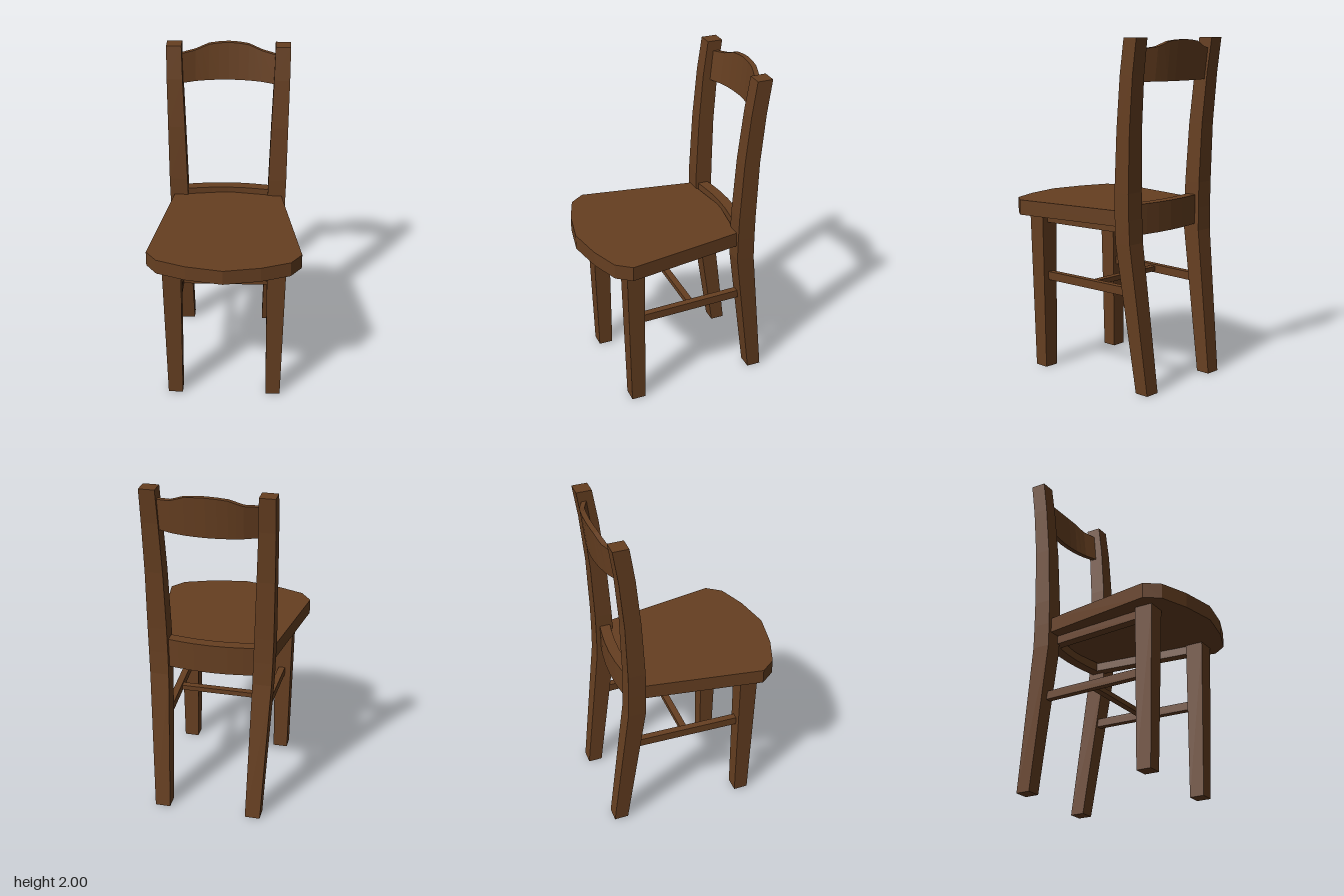
import * as THREE from 'three';

const wood = new THREE.MeshStandardMaterial({ color: 0x663f21 });
wood.name = 'brown wood';

// Skins a row of four-cornered sections into a closed, flat-faced solid.
function loft(rings) {
  const pos = [];
  const quad = (a, b, c, d) => pos.push(...a, ...b, ...c, ...a, ...c, ...d);
  for (let i = 0; i < rings.length - 1; i++) {
    const lo = rings[i], hi = rings[i + 1];
    for (let k = 0; k < 4; k++) {
      const n = (k + 1) % 4;
      quad(lo[k], lo[n], hi[n], hi[k]);
    }
  }
  quad(...[...rings[0]].reverse());
  quad(...rings[rings.length - 1]);
  const geo = new THREE.BufferGeometry();
  geo.setAttribute('position', new THREE.Float32BufferAttribute(pos, 3));
  geo.computeVertexNormals();
  return geo;
}

const mirror = (rings) => rings.map((r) => r.map(([x, y, z]) => [-x, y, z]).reverse());

// Rectangular sections across each axis.
const acrossY = ([y, x0, x1, z0, z1]) => [[x0, y, z0], [x0, y, z1], [x1, y, z1], [x1, y, z0]];
const acrossZ = ([z, x0, x1, y0, y1]) => [[x0, y0, z], [x1, y0, z], [x1, y1, z], [x0, y1, z]];

export function createModel() {
  const chair = new THREE.Group();
  chair.name = 'chair';

  const add = (name, geo) => {
    const mesh = new THREE.Mesh(geo, wood);
    mesh.name = name;
    chair.add(mesh);
  };
  const addPair = (name, rings) => {
    add(name + 'Left', loft(rings));
    add(name + 'Right', loft(mirror(rings)));
  };

  // Seat board: tapered towards the back, with a faceted bowed front
  const half = [[0.45, 0.36], [0.385, 0.447], [0.215, 0.51]];
  const back = [[0.25, -0.345], [0.337, -0.337]];
  const outline = [
    [0, -0.38], ...back, ...half, [0, 0.55],
    ...[...back, ...half].reverse().map(([x, z]) => [-x, z]),
  ];
  const shape = new THREE.Shape(outline.map(([x, z]) => new THREE.Vector2(x, -z)));
  const seat = new THREE.ExtrudeGeometry(shape, { depth: 0.09, bevelEnabled: false });
  seat.rotateX(-Math.PI / 2).translate(0, 0.95, 0);
  add('seat', seat);

  // Tapered front legs: y, x range, z range
  addPair('frontLeg', [
    [0, 0.258, 0.347, 0.255, 0.342],
    [0.95, 0.25, 0.362, 0.258, 0.366],
  ].map(acrossY));

  // Back legs sweep up into the backrest posts
  addPair('backPost', [
    [0, 0.232, 0.322, -0.548, -0.462],
    [0.86, 0.247, 0.358, -0.445, -0.337],
    [1.0, 0.25, 0.362, -0.441, -0.335],
    [1.15, 0.254, 0.365, -0.44, -0.336],
    [1.5, 0.264, 0.367, -0.449, -0.353],
    [1.8, 0.275, 0.37, -0.473, -0.38],
    [2, 0.28, 0.37, -0.5, -0.408],
  ].map(acrossY));

  // Side aprons under the seat and side stretchers: z, x range, y range
  addPair('sideApron', [
    [-0.36, 0.205, 0.265, 0.9, 0.95],
    [0.28, 0.265, 0.325, 0.9, 0.95],
  ].map(acrossZ));
  addPair('sideStretcher', [
    [-0.4, 0.255, 0.295, 0.545, 0.595],
    [0.28, 0.28, 0.32, 0.545, 0.595],
  ].map(acrossZ));

  // Cross stretcher joining the two sides
  const cross = new THREE.BoxGeometry(0.56, 0.03, 0.04);
  cross.translate(0, 0.57, -0.07);
  add('crossStretcher', cross);

  // Curved rail behind the seat, from half sections mirrored across the middle
  const bothSides = (rows) => [
    ...rows.slice(1).reverse().map(([x, ...r]) => [-x, ...r]),
    ...rows,
  ];
  const rail = bothSides([[0, -0.44], [0.1, -0.436], [0.19, -0.425], [0.28, -0.41]]);
  add('seatRail', loft(rail.map(([x, z]) => [
    [x, 0.9, z], [x, 1.075, z], [x, 1.075, z + 0.064], [x, 0.9, z + 0.064],
  ])));

  // Crest rail: x, top height, back edge z; curved in plan and leaning back
  const crest = bothSides([
    [0, 1.99, -0.536], [0.06, 1.987, -0.533], [0.12, 1.98, -0.526],
    [0.16, 1.965, -0.517], [0.2, 1.95, -0.507], [0.29, 1.938, -0.468],
  ]);
  add('crestRail', loft(crest.map(([x, top, z]) => [
    [x, 1.76, z + 0.021], [x, top, z], [x, top, z + 0.03], [x, 1.76, z + 0.051],
  ])));

  return chair;
}
